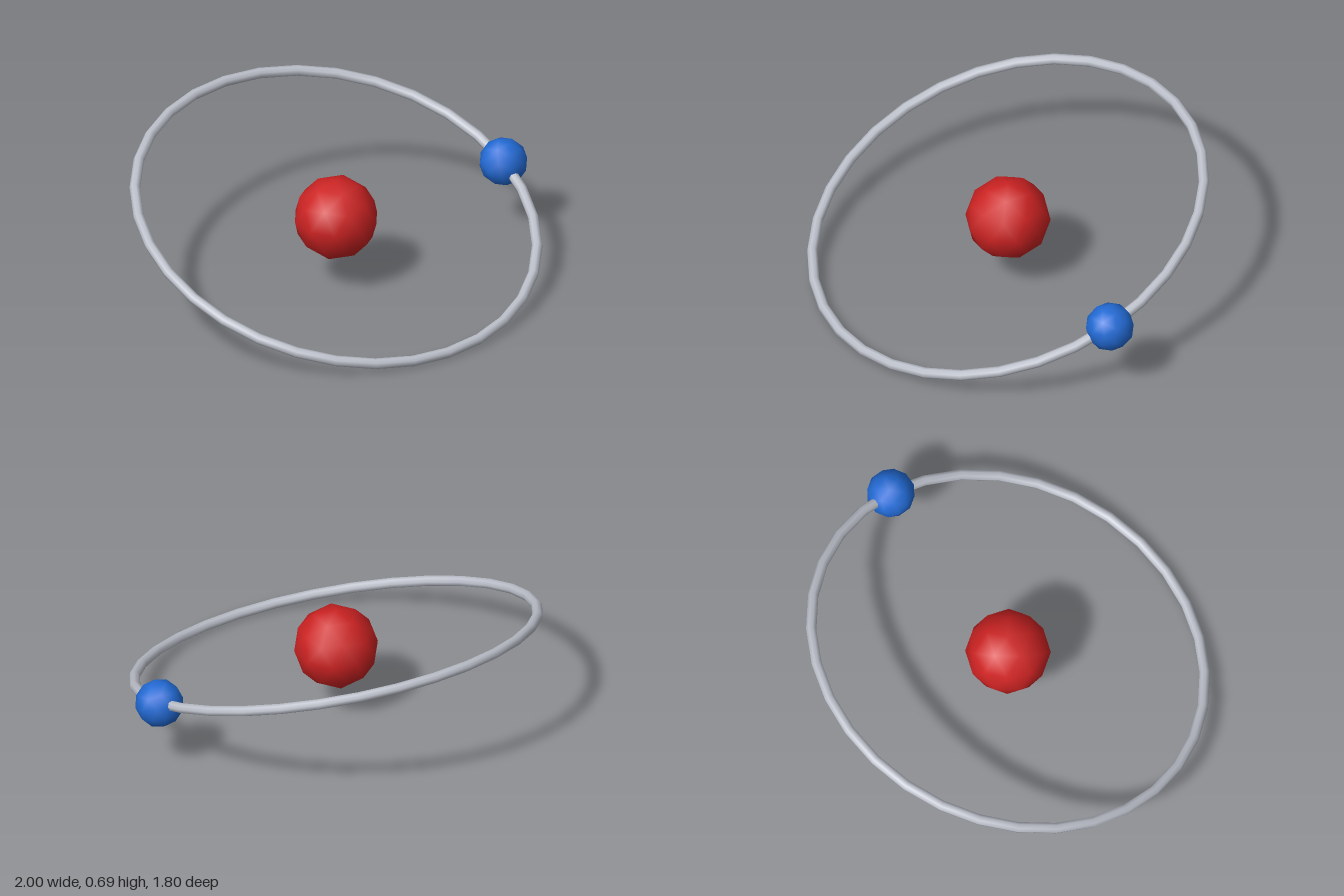
import * as THREE from 'three';

const ORBIT = 0.9345;

function material(name, color) {
  const m = new THREE.MeshStandardMaterial({ color });
  m.name = name;
  return m;
}

// Low-poly ball with smooth normals and a vertex at its pole
function ball(name, radius, mat) {
  const geometry = new THREE.IcosahedronGeometry(radius, 1);
  geometry.rotateZ(Math.atan(2 / (1 + Math.sqrt(5))));
  const mesh = new THREE.Mesh(geometry, mat);
  mesh.name = name;
  return mesh;
}

export function createModel() {
  const model = new THREE.Group();
  model.name = 'atom';
  model.position.set(0, 0, 0);

  // Core at the centre of the orbit
  const atom = new THREE.Group();
  atom.name = 'orbitSystem';
  atom.position.set(-0.041, 0.345, 0);
  atom.add(ball('nucleus', 0.195, material('red', 0xcc2222)));

  // Tilted orbit, low at the front, carrying the small ball
  const orbit = new THREE.Group();
  orbit.name = 'orbit';
  orbit.rotation.x = THREE.MathUtils.degToRad(20);

  const ringGeometry = new THREE.TorusGeometry(ORBIT, 0.0245, 8, 32);
  ringGeometry.rotateX(Math.PI / 2);
  const ring = new THREE.Mesh(ringGeometry, material('light grey', 0xbcc0ca));
  ring.name = 'orbitRing';

  const electron = ball('electron', 0.112, material('blue', 0x226ad4));
  electron.position.x = ORBIT;

  orbit.add(ring, electron);
  atom.add(orbit);
  model.add(atom);
  return model;
}
